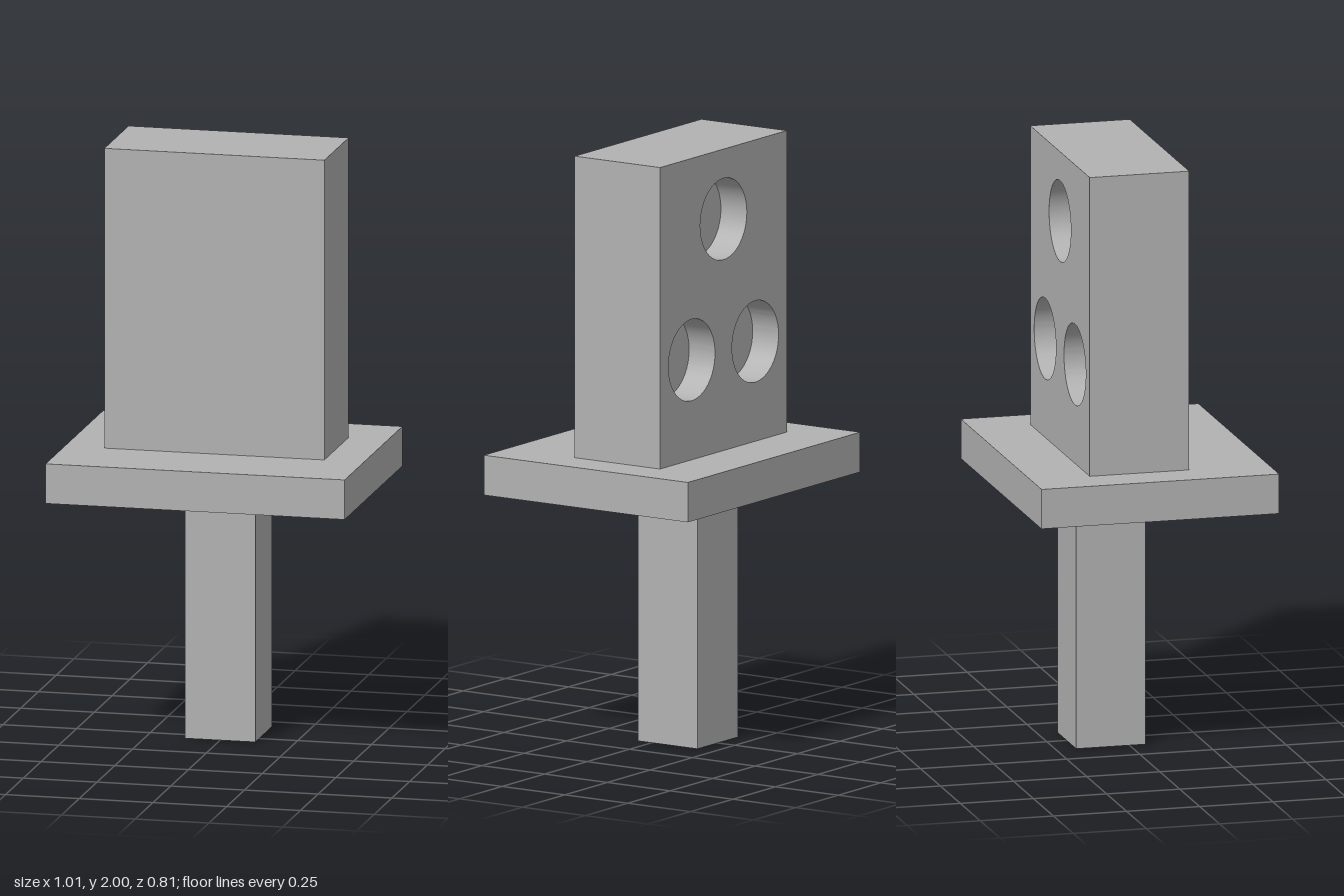
import * as THREE from 'three';
import { toCreasedNormals } from 'three/addons/utils/BufferGeometryUtils.js';

export function createModel() {
  const group = new THREE.Group();
  const grey = new THREE.MeshStandardMaterial({ color: 0xb2b2b2 });
  grey.name = 'plain grey';

  function add(name, geometry) {
    const mesh = new THREE.Mesh(geometry, grey);
    mesh.name = name;
    group.add(mesh);
  }

  // Box given by its half width and its y and z limits
  function box(name, halfX, y0, y1, z0, z1) {
    const geometry = new THREE.BoxGeometry(2 * halfX, y1 - y0, z1 - z0);
    geometry.translate(0, (y0 + y1) / 2, (z0 + z1) / 2);
    add(name, geometry);
  }

  const plateBottom = 0.852, plateTop = 0.986, top = 2;
  const blockHalf = 0.373, backZ = -0.205, frontZ = 0.135;
  const holeRadius = 0.137, holeDepth = 0.103;

  // Square stem, flat plate, and the solid front of the upper block
  box('stem', 0.119, 0, plateBottom, -0.182, 0.054);
  box('plate', 0.507, plateBottom, plateTop, -0.406, 0.406);
  box('blockFront', blockHalf, plateTop, top, backZ + holeDepth, frontZ);

  // Back of the block, pierced by three round sockets
  const face = new THREE.Shape([
    new THREE.Vector2(-blockHalf, plateTop),
    new THREE.Vector2(blockHalf, plateTop),
    new THREE.Vector2(blockHalf, top),
    new THREE.Vector2(-blockHalf, top),
  ]);
  for (const [x, y] of [[0, 1.765], [-0.187, 1.322], [0.187, 1.322]]) {
    const hole = new THREE.Path();
    hole.absarc(x, y, holeRadius, 0, Math.PI * 2, true);
    face.holes.push(hole);
  }
  const back = new THREE.ExtrudeGeometry(face, {
    depth: holeDepth, bevelEnabled: false, curveSegments: 48,
  });
  back.translate(0, 0, backZ);
  add('blockBackWithSockets', toCreasedNormals(back, 0.6));

  return group;
}
